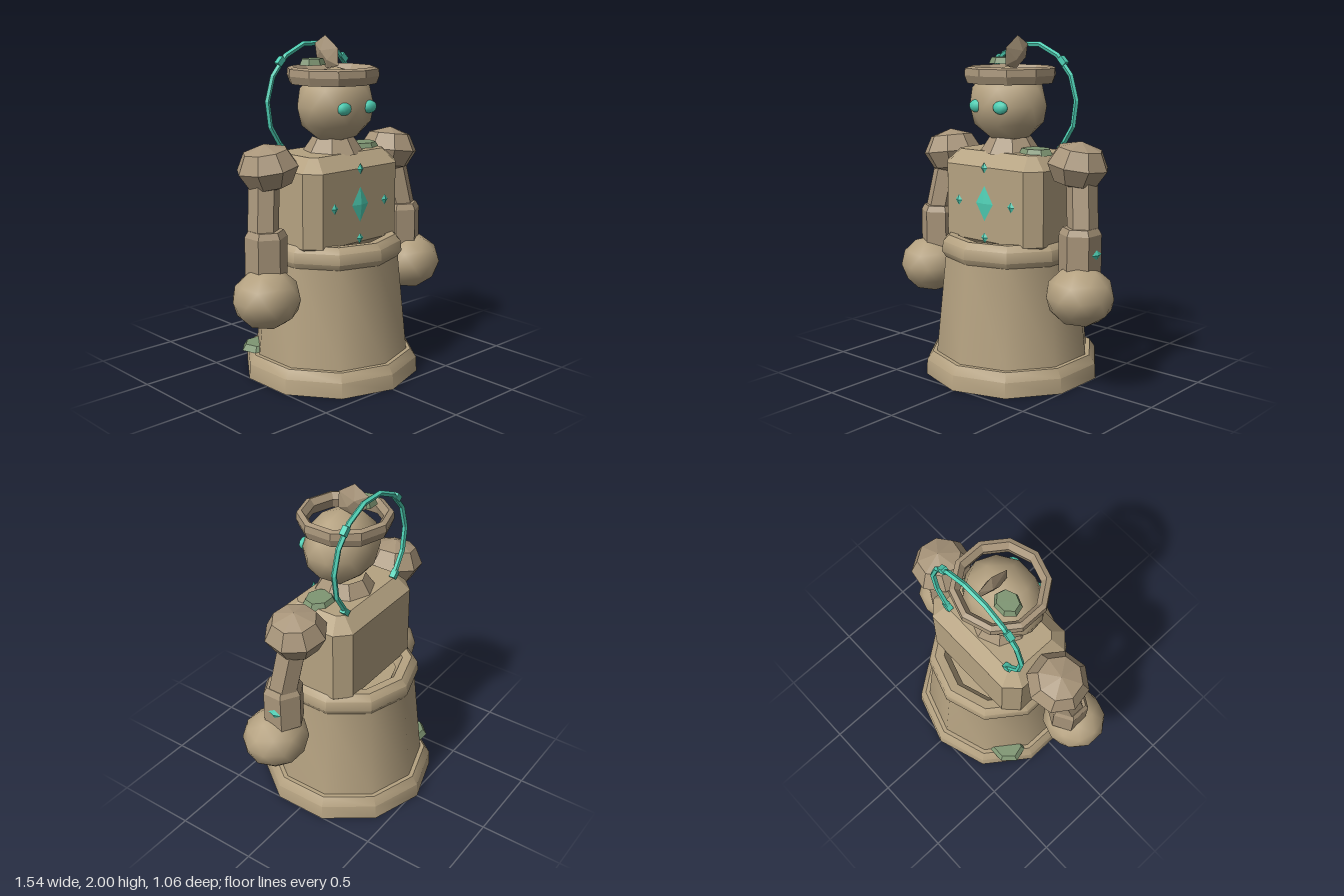
import * as THREE from 'three';
import { toCreasedNormals } from 'three/addons/utils/BufferGeometryUtils.js';
import { ConvexGeometry } from 'three/addons/geometries/ConvexGeometry.js';

const stone = new THREE.MeshStandardMaterial({ color: 0xb5a281 });
const stoneFlat = new THREE.MeshStandardMaterial({ color: 0xa8957a, flatShading: true });
const glow = new THREE.MeshStandardMaterial({ color: 0x4fd0b5 });
const glowFlat = new THREE.MeshStandardMaterial({ color: 0x4fd0b5, flatShading: true });
const mossy = new THREE.MeshStandardMaterial({ color: 0x7f9673, flatShading: true });

export function createModel() {
  const root = new THREE.Group();

  const add = (name, geometry, material, pos = [0, 0, 0], scale = [1, 1, 1], parent = root) => {
    const mesh = new THREE.Mesh(geometry, material);
    mesh.name = name;
    mesh.position.set(...pos);
    mesh.scale.set(...scale);
    parent.add(mesh);
    return mesh;
  };
  // Ten-sided turned part: round sides stay smooth, rims stay sharp
  const turned = (points, sides = 10) =>
    toCreasedNormals(new THREE.LatheGeometry(points.map(p => new THREE.Vector2(...p)), sides), 0.7);
  // Smooth low-poly ball with a vertex at each pole
  const ball = () => new THREE.IcosahedronGeometry(1, 1).rotateZ(-Math.atan(2 / (1 + Math.sqrt(5))));
  // Straight tapered limb between two points
  const limb = (a, b, rTop, rBottom, sides) => {
    const from = new THREE.Vector3(...a), to = new THREE.Vector3(...b);
    const axis = from.clone().sub(to);
    const g = new THREE.CylinderGeometry(rTop, rBottom, axis.length(), sides);
    g.applyQuaternion(new THREE.Quaternion().setFromUnitVectors(
      new THREE.Vector3(0, 1, 0), axis.clone().normalize()));
    const mid = from.add(to).multiplyScalar(0.5);
    return g.translate(mid.x, mid.y, mid.z);
  };

  // Plinth, skirt and belt
  add('base', turned([[0, 0], [0.53, 0], [0.525, 0.09], [0.49, 0.14], [0, 0.14]]), stone);
  add('skirt', turned([[0.465, 0.13], [0.405, 0.72], [0, 0.72]]), stone);
  add('belt', turned([[0.33, 0.7], [0.395, 0.7], [0.427, 0.75], [0.42, 0.81], [0.385, 0.845],
    [0.33, 0.84], [0.29, 0.77], [0.33, 0.7]]), stone);

  // Torso: chamfered block with bevelled top and bottom
  const w = 0.37, d = 0.245, c = 0.08;
  const plan = new THREE.Shape([[w, -d + c], [w, d - c], [w - c, d], [-w + c, d], [-w, d - c],
    [-w, -d + c], [-w + c, -d], [w - c, -d]].map(p => new THREE.Vector2(...p)));
  const torso = new THREE.ExtrudeGeometry(plan, { depth: 0.43, bevelEnabled: true,
    bevelSegments: 1, bevelThickness: 0.08, bevelSize: 0.08, bevelOffset: -0.08 });
  add('torso', torso.rotateX(-Math.PI / 2), stone, [0, 0.83, 0.005]);

  // Glowing diamonds on the chest
  const gem = new THREE.OctahedronGeometry(1, 0);
  [[0, 1.05, 0.075, 0.12], [-0.2, 1.05, 0.03, 0.037], [0.2, 1.05, 0.03, 0.037],
    [0, 1.255, 0.026, 0.034], [0, 0.85, 0.03, 0.034]].forEach(([x, y, hw, hh]) =>
    add('chestRune', gem, glowFlat, [x, y, 0.248], [hw, hh, 0.014]));

  // Neck, head and eyes
  add('neck', turned([[0.18, 1.33], [0.12, 1.42]], 8), stoneFlat, [0, 0, 0.02]);
  add('head', ball(), stone, [0, 1.605, 0.042], [0.25, 0.22, 0.205]);
  add('leftEye', ball(), glow, [0.098, 1.602, 0.222], [0.05, 0.038, 0.03]);
  add('rightEye', ball(), glow, [-0.092, 1.602, 0.212], [0.05, 0.038, 0.03]);

  // Floating brim ring and stone crest
  add('brimRing', turned([[0.225, 1.735], [0.255, 1.73], [0.272, 1.775], [0.268, 1.815],
    [0.24, 1.825], [0.212, 1.79], [0.225, 1.735]]), stoneFlat, [0, 0, 0.018]);
  const crest = [[1.93, 0.06], [2.0, -0.045], [1.95, -0.135], [1.87, -0.12], [1.81, -0.03], [1.83, 0.065]]
    .map(([y, z]) => new THREE.Vector3(0, y, z));
  for (const s of [-1, 1]) {
    crest.push(new THREE.Vector3(s * 0.027, 1.91, -0.06), new THREE.Vector3(s * 0.022, 1.86, -0.01));
  }
  add('crest', new ConvexGeometry(crest), stoneFlat);

  // Halo arc behind the head, with a node at each end and at the upper corners
  const halo = new THREE.Group();
  halo.name = 'halo';
  halo.position.set(0, 1.607, -0.156);
  root.add(halo);
  const arc = new THREE.TorusGeometry(0.347, 0.016, 5, 11, Math.PI * 1.5).rotateZ(-Math.PI / 4);
  add('haloArc', arc, glowFlat, [0, 0, 0], [1, 1, 1], halo);
  for (let i = 0; i < 4; i++) {
    const a = Math.PI / 4 + i * Math.PI / 2;
    const node = add('haloNode', new THREE.BoxGeometry(0.034, 0.052, 0.034), glowFlat,
      [0.35 * Math.cos(a), 0.35 * Math.sin(a), 0], [1, 1, 1], halo);
    node.rotation.z = a;
  }

  // Arms
  for (const s of [1, -1]) {
    const arm = new THREE.Group();
    arm.name = s > 0 ? 'leftArm' : 'rightArm';
    root.add(arm);
    const part = (name, g, m, pos, scale) => add(name, g, m, pos, scale, arm);
    const shoulder = part('shoulder', new THREE.SphereGeometry(1, 8, 4), stoneFlat,
      [s * 0.482, 1.29, 0.005], [0.18, 0.138, 0.18]);
    shoulder.rotation.set(0, s * 0.2, -s * 0.15);
    part('upperArm', limb([s * 0.51, 1.23, 0.005], [s * 0.555, 0.93, 0.05], 0.088, 0.088, 6), stoneFlat);
    const forearm = turned([[0, 0.7], [0.12, 0.7], [0.12, 0.92], [0.1, 0.955], [0, 0.955]], 6);
    part('forearm', forearm, stoneFlat, [s * 0.545, 0, 0.06]);
    part('hand', ball(), stone, [s * 0.58, 0.578, 0.102], [0.2, 0.174, 0.19]);
    // The forearm diamond sits on the same world side of both arms
    part('forearmRune', gem, glowFlat, [s * 0.545 + 0.104, 0.81, 0.045], [0.014, 0.028, 0.045]);
  }

  // Moss patches on crown, shoulder and plinth
  const moss = new THREE.CylinderGeometry(0.8, 1, 1, 7);
  [[-0.11, 1.853, -0.035, 0.085, 0.036, 0.07], [0.215, 1.35, 0.045, 0.11, 0.035, 0.09],
    [-0.345, 0.155, -0.245, 0.13, 0.035, 0.11]].forEach(([x, y, z, a, h, b]) => {
    add('mossPatch', moss, mossy, [x, y, z], [a, h, b]);
  });

  return root;
}
